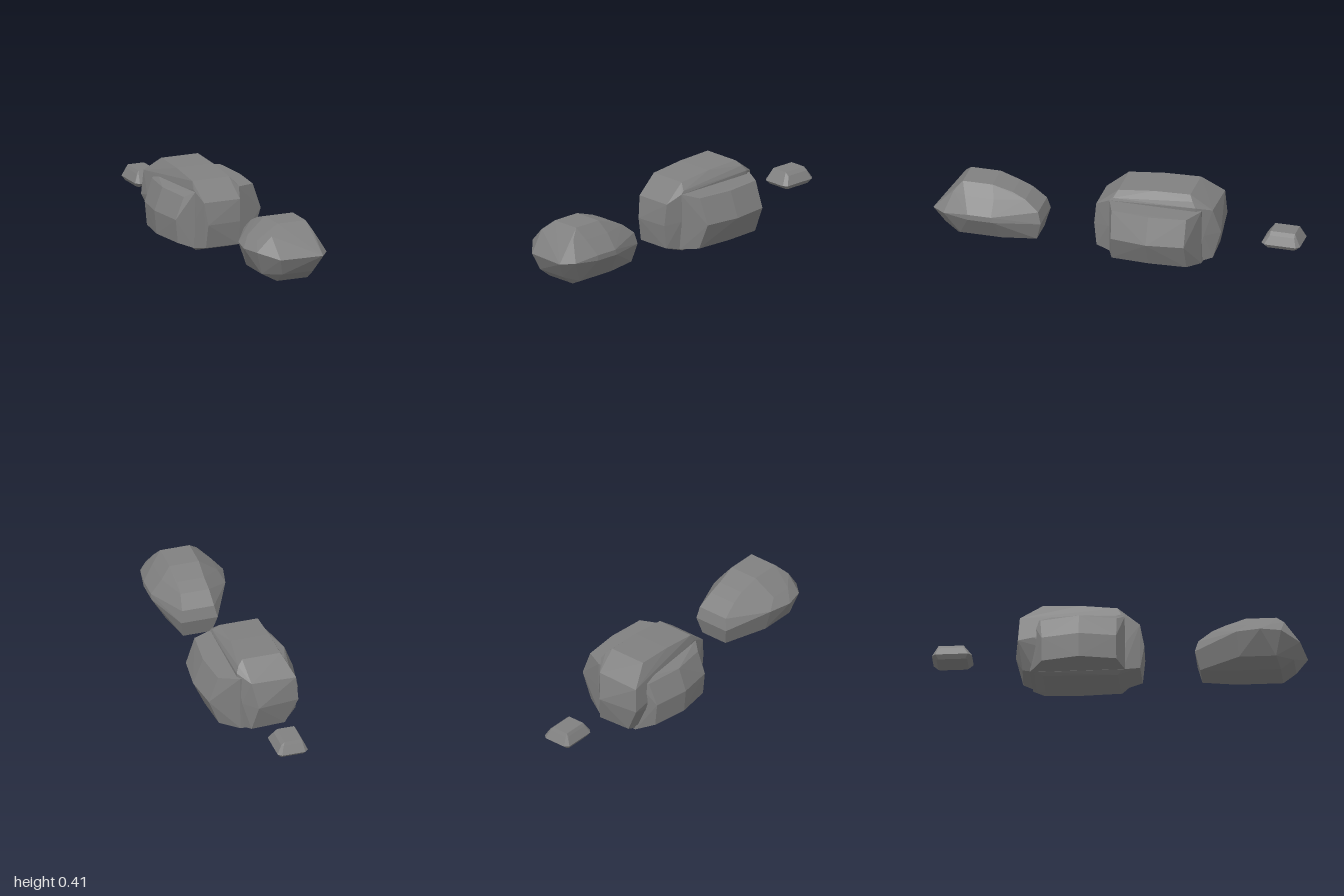
import * as THREE from 'three';
import { ConvexGeometry } from 'three/addons/geometries/ConvexGeometry.js';

const stone = new THREE.MeshStandardMaterial({ color: 0x808080, flatShading: true });
stone.name = 'stone grey';

// A faceted stone: the convex hull around a few corner points
function rock(name, points) {
  const mesh = new THREE.Mesh(new ConvexGeometry(points.map(p => new THREE.Vector3(...p))), stone);
  mesh.name = name;
  return mesh;
}

// A lengthwise edge from z0 to z1 at a fixed x and y
const edge = (x, y, z0, z1) => [[x, y, z0], [x, y, z1]];
// A crosswise edge from x0 to x1 at a fixed y and z
const across = (y, z, x0, x1) => [[x0, y, z], [x1, y, z]];

export function createModel() {
  const group = new THREE.Group();
  group.name = 'rocks';

  // Front boulder: blunt wide front, tapering to the back
  group.add(rock('frontRock', [
    ...across(0.353, 0.68, -0.035, 0.13), ...across(0.353, 0.845, -0.035, 0.13),
    ...across(0.3, 0.89, -0.09, 0.155),
    [-0.075, 0.185, 0.975], [0.163, 0.19, 1],
    ...edge(0.24, 0.21, 0.66, 0.79), ...edge(0.24, 0.18, 0.65, 0.79), [0.215, 0.19, 0.93],
    ...edge(0.18, 0.29, 0.66, 0.82),
    [-0.2, 0.215, 0.77], ...edge(-0.172, 0.215, 0.64, 0.88), ...edge(-0.145, 0.265, 0.7, 0.82),
    ...across(0.095, 0.94, -0.05, 0.13),
    ...across(0.042, 0.62, -0.05, 0.13), ...across(0.042, 0.87, -0.05, 0.13),
    ...edge(0.165, 0.06, 0.62, 0.85), ...edge(-0.13, 0.085, 0.65, 0.85),
    ...across(0.318, 0.57, -0.03, 0.12), ...across(0.285, 0.5, -0.035, 0.125),
    ...across(0.225, 0.425, -0.04, 0.14), ...across(0.16, 0.408, -0.055, 0.15),
    ...across(0.06, 0.435, -0.03, 0.13),
  ]));

  // Middle boulder: a lengthwise core with a wide bulge through it
  const middle = new THREE.Group();
  middle.name = 'middleRock';
  middle.add(rock('core', [
    ...across(0.385, 0, -0.15, 0.065), ...across(0.406, -0.2, -0.15, 0.065),
    ...across(0.412, -0.4, -0.15, 0.065),
    [0.093, 0.385, -0.42], [0.108, 0.355, -0.44], [0.1, 0.35, 0.02],
    [-0.165, 0.345, -0.43], [-0.155, 0.345, 0.02],
    ...across(0.335, 0.04, -0.152, 0.105), ...across(0.18, 0.045, -0.153, 0.105),
    ...across(0.29, 0.12, -0.135, 0.075), [-0.12, 0.17, 0.142], [0.07, 0.17, 0.133],
    ...across(0.04, 0.12, -0.125, 0.07),
    ...across(0, 0, -0.13, 0.07), ...across(0.008, -0.4, -0.13, 0.07),
    ...across(0.021, 0.03, -0.155, 0.093), ...across(0.021, -0.44, -0.155, 0.093),
    [-0.2, 0.32, -0.52], [0.05, 0.325, -0.52], [-0.21, 0.185, -0.53], [0.02, 0.185, -0.558],
    [-0.14, 0.04, -0.51], [0.05, 0.04, -0.52], [0.09, 0.185, -0.48], [-0.21, 0.2, -0.45],
  ]));
  middle.add(rock('bulge', [
    ...[0.04, -0.47].flatMap(z => [...across(0.335, z, -0.15, 0.1), ...across(0.022, z, -0.155, 0.095), ...across(0.185, z, -0.153, 0.1)]),
    // left and right flanks, fullest at mid length
    [0.28, 0.185, -0.21], [0.225, 0.328, -0.21], [0.215, 0.045, -0.21],
    ...edge(0.257, 0.187, -0.01, -0.415), ...edge(0.205, 0.33, 0, -0.415), ...edge(0.2, 0.043, 0, -0.415),
    [-0.282, 0.185, -0.2], [-0.235, 0.31, -0.2], [-0.27, 0.055, -0.2],
    ...edge(-0.248, 0.18, 0, -0.4), ...edge(-0.2, 0.302, 0, -0.41), ...edge(-0.235, 0.05, 0, -0.4),
  ]));
  group.add(middle);

  // Small stone at the back: a flat bevelled slab
  const backPoints = [];
  for (const [y, x0, x1, z0, z1, c] of [
    [0.222, -0.09, 0.005, -0.83, -0.965, 0], [0.205, -0.1, 0.025, -0.82, -0.975, 0.01],
    [0.16, -0.12, 0.05, -0.785, -1, 0.02], [0.137, -0.105, 0.035, -0.81, -0.975, 0.01],
  ]) {
    backPoints.push(...across(y, z0, x0 + c, x1 - c), ...across(y, z1, x0 + c, x1 - c),
      ...edge(x0, y, z0 - c, z1 + c), ...edge(x1, y, z0 - c, z1 + c));
  }
  group.add(rock('backRock', backPoints));

  return group;
}
